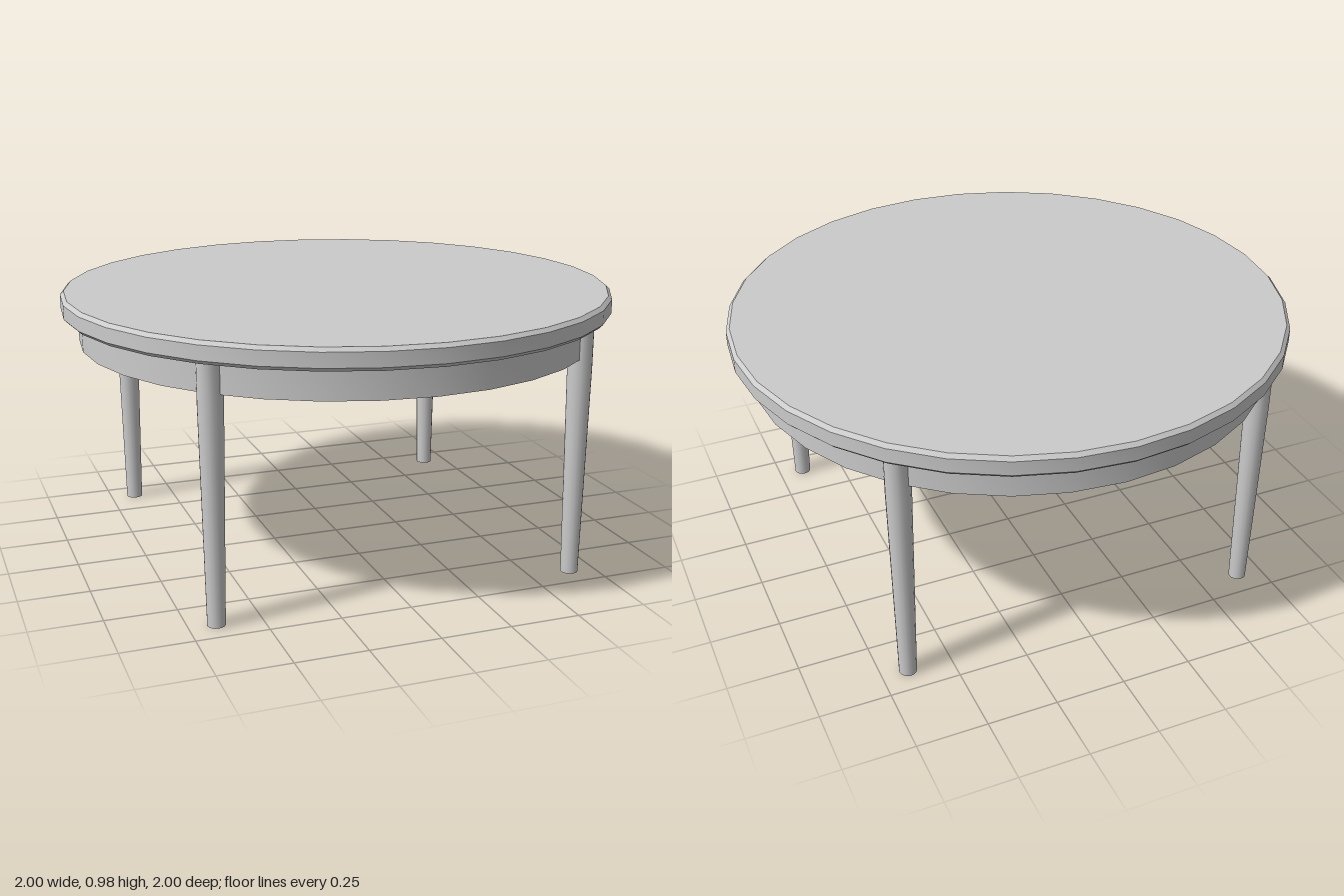
import * as THREE from 'three';
import { toCreasedNormals } from 'three/addons/utils/BufferGeometryUtils.js';

const material = new THREE.MeshStandardMaterial({ color: 0xcccccc });

// Revolved solid with crisp edges; profile is [radius, height] pairs
function turned(name, profile, sides) {
  const points = profile.map(([r, y]) => new THREE.Vector2(r, y));
  const mesh = new THREE.Mesh(toCreasedNormals(new THREE.LatheGeometry(points, sides), 0.5), material);
  mesh.name = name;
  return mesh;
}

export function createModel() {
  const table = new THREE.Group();
  table.name = 'roundTable';

  // Round top with small bevels on both edges
  table.add(turned('tableTop', [
    [0, 0.9], [0.987, 0.9], [1, 0.913], [1, 0.963], [0.987, 0.976], [0, 0.976],
  ], 32));

  // Hollow ring below the top
  table.add(turned('apron', [
    [0.895, 0.793], [0.94, 0.793], [0.94, 0.9], [0.895, 0.9], [0.895, 0.793],
  ], 32));

  // Four tapered legs set into the apron
  for (const [x, sideName] of [[1, 'left'], [-1, 'right']]) {
    for (const [z, endName] of [[1, 'Front'], [-1, 'Back']]) {
      const leg = turned(`${sideName}${endName}Leg`, [
        [0, 0], [0.031, 0], [0.043, 0.75], [0.043, 0.9], [0, 0.9],
      ], 16);
      leg.position.set(x * 0.656, 0, z * 0.656);
      table.add(leg);
    }
  }
  return table;
}
